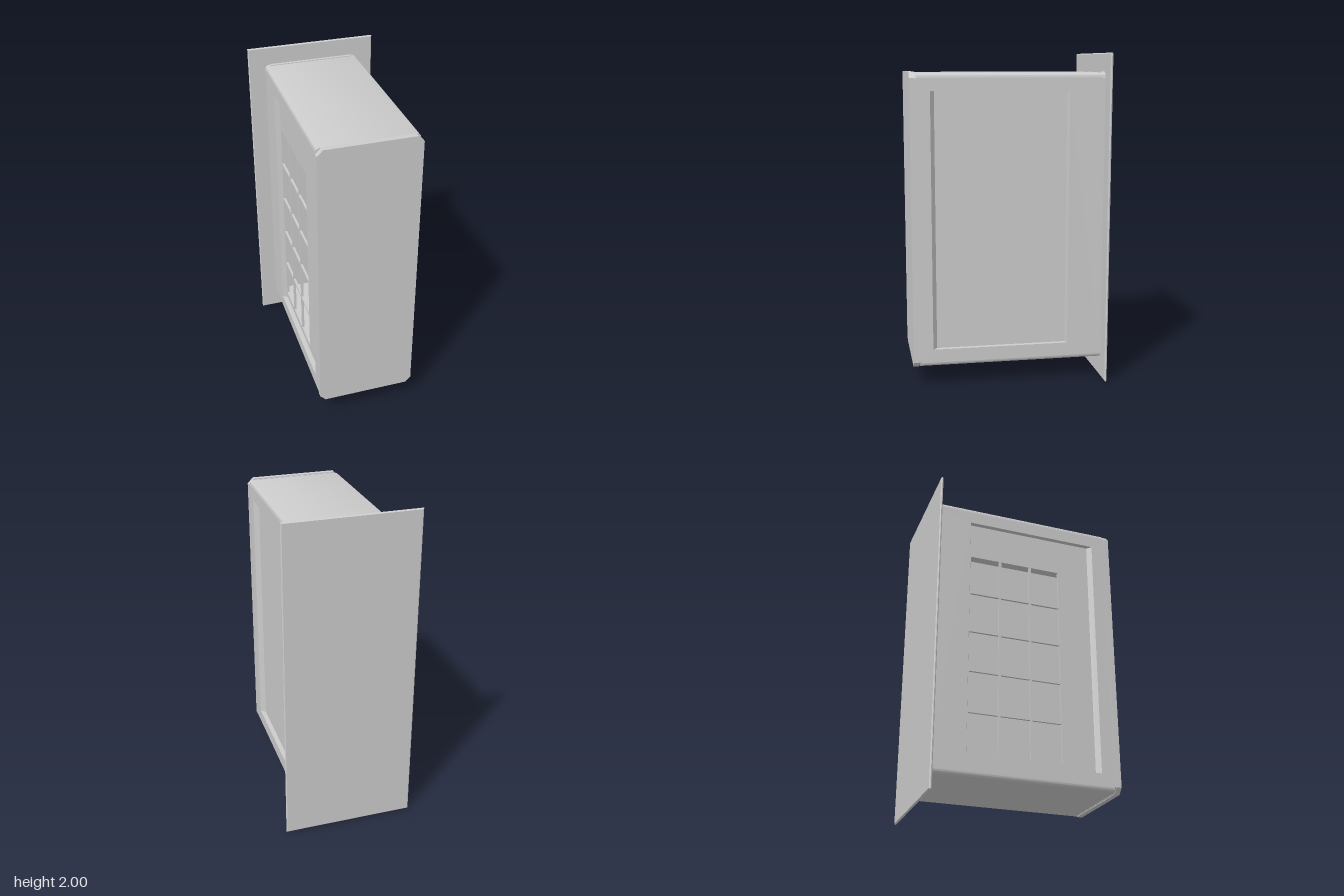
import * as THREE from 'three';
import { toCreasedNormals } from 'three/addons/utils/BufferGeometryUtils.js';

const material = new THREE.MeshStandardMaterial({ color: 0xcccccc });
const HALF_W = 0.295, BOTTOM = 0.125, TOP = 1.885, WALL = 0.03, ROUND = 0.025;
const FRONT = 0.55, BACK = -0.575;
const MID_Y = (BOTTOM + TOP) / 2;
// recess opening on each side, and its tapered floor
const OPEN = { z0: -0.36, z1: 0.47, y0: 0.23, y1: 1.78 };
const FLOOR = { z0: -0.35, z1: 0.445 };

function add(group, name, geometry) {
  const mesh = new THREE.Mesh(geometry, material);
  mesh.name = name;
  group.add(mesh);
  return mesh;
}

function trace(path, points) {
  points.forEach(([x, y], i) => (i ? path.lineTo(x, y) : path.moveTo(x, y)));
  path.closePath();
  return path;
}

const rect = (path, x0, y0, x1, y1) => trace(path, [[x0, y0], [x1, y0], [x1, y1], [x0, y1]]);

function extrude(shape, depth) {
  return new THREE.ExtrudeGeometry(shape, { depth, bevelEnabled: false, curveSegments: 6 });
}

// Rectangle with cut corners, extruded from z0 to z1
function chamferedPlate(halfW, halfH, cut, z0, z1) {
  const corners = [
    [halfW - cut, -halfH], [halfW, -halfH + cut], [halfW, halfH - cut], [halfW - cut, halfH],
    [-halfW + cut, halfH], [-halfW, halfH - cut], [-halfW, -halfH + cut], [-halfW + cut, -halfH],
  ];
  return extrude(trace(new THREE.Shape(), corners), z1 - z0).translate(0, MID_Y, z0);
}

// Shape drawn in (z, y), given a thickness inward from |x| = outer
function sidePart(shape, outer, thickness, side) {
  return extrude(shape, thickness)
    .translate(0, 0, -thickness / 2)
    .rotateY(-Math.PI / 2)
    .translate(side * (outer - thickness / 2), 0, 0);
}

// Roof slab with rounded upper edges; flipped for the floor
function slab(flip) {
  const s = new THREE.Shape();
  s.moveTo(-HALF_W, -WALL);
  s.lineTo(HALF_W, -WALL);
  s.lineTo(HALF_W, -ROUND);
  s.absarc(HALF_W - ROUND, -ROUND, ROUND, 0, Math.PI / 2, false);
  s.absarc(-HALF_W + ROUND, -ROUND, ROUND, Math.PI / 2, Math.PI, false);
  s.closePath();
  const g = extrude(s, FRONT - BACK).translate(0, 0, BACK);
  if (flip) g.rotateZ(Math.PI);
  return toCreasedNormals(g.translate(0, flip ? BOTTOM : TOP, 0), 0.7);
}

// Side wall whose opening narrows toward the recessed panel
function sideWall(side) {
  const s = rect(new THREE.Shape(), BACK, BOTTOM + WALL, FRONT, TOP - WALL);
  s.holes.push(rect(new THREE.Path(), OPEN.z0, OPEN.y0, OPEN.z1, OPEN.y1));
  const g = sidePart(s, HALF_W, WALL, side);
  const p = g.attributes.position;
  for (let i = 0; i < p.count; i++) {
    if (Math.abs(p.getX(i)) > HALF_W - WALL / 2) continue;
    if (Math.abs(p.getZ(i) - OPEN.z1) < 1e-4) p.setZ(i, FLOOR.z1);
    if (Math.abs(p.getZ(i) - OPEN.z0) < 1e-4) p.setZ(i, FLOOR.z0);
  }
  g.computeVertexNormals();
  return g;
}

// Recessed panel, optionally pierced by a barred window
function recessPanel(side, windowed) {
  const m = 0.01;
  const s = rect(new THREE.Shape(), FLOOR.z0 - m, OPEN.y0 - m, FLOOR.z1 + m, OPEN.y1 + m);
  if (windowed) {
    const z0 = -0.345, z1 = 0.235, y0 = 0.27, y1 = 1.55, cols = 3, rows = 5, bar = 0.014;
    const w = (z1 - z0 + bar) / cols, h = (y1 - y0 + bar) / rows;
    for (let c = 0; c < cols; c++) {
      for (let r = 0; r < rows; r++) {
        const z = z0 + c * w, y = y0 + r * h;
        s.holes.push(rect(new THREE.Path(), z, y, z + w - bar, y + h - bar));
      }
    }
  }
  return sidePart(s, HALF_W - WALL, 0.014, side);
}

export function createModel() {
  const model = new THREE.Group();
  model.name = 'cabinet';

  // Hollow rounded case
  const body = new THREE.Group();
  body.name = 'caseBody';
  add(body, 'roof', slab(false));
  add(body, 'floor', slab(true));
  for (const side of [1, -1]) {
    const label = side > 0 ? 'left' : 'right';
    add(body, label + 'Wall', sideWall(side));
    add(body, label + (side > 0 ? 'Panel' : 'WindowPanel'), recessPanel(side, side < 0));
  }
  model.add(body);

  // Front cap with a narrow step, and the collar behind
  const halfH = (TOP - BOTTOM) / 2;
  add(model, 'frontCapStep', chamferedPlate(0.297, halfH + 0.002, 0.034, FRONT, 0.557));
  add(model, 'frontCap', chamferedPlate(0.3, halfH + 0.006, 0.035, 0.557, 0.59));
  add(model, 'rearCollar', chamferedPlate(0.297, halfH + 0.004, 0.033, BACK, -0.555));

  // Large thin back plate with a bevelled front edge
  const bevel = 0.006;
  const outline = rect(new THREE.Shape(), -0.4 + bevel, bevel, 0.4 - bevel, 2 - bevel);
  const plate = new THREE.ExtrudeGeometry(outline, {
    depth: 0.003, bevelThickness: bevel, bevelSize: bevel, bevelSegments: 1,
  });
  add(model, 'backPlate', plate.translate(0, 0, -0.584));

  // Small latch set into the plate's edge
  add(model, 'latch', new THREE.BoxGeometry(0.01, 0.13, 0.005)).position.set(0.3955, 1.295, -0.5825);

  return model;
}
